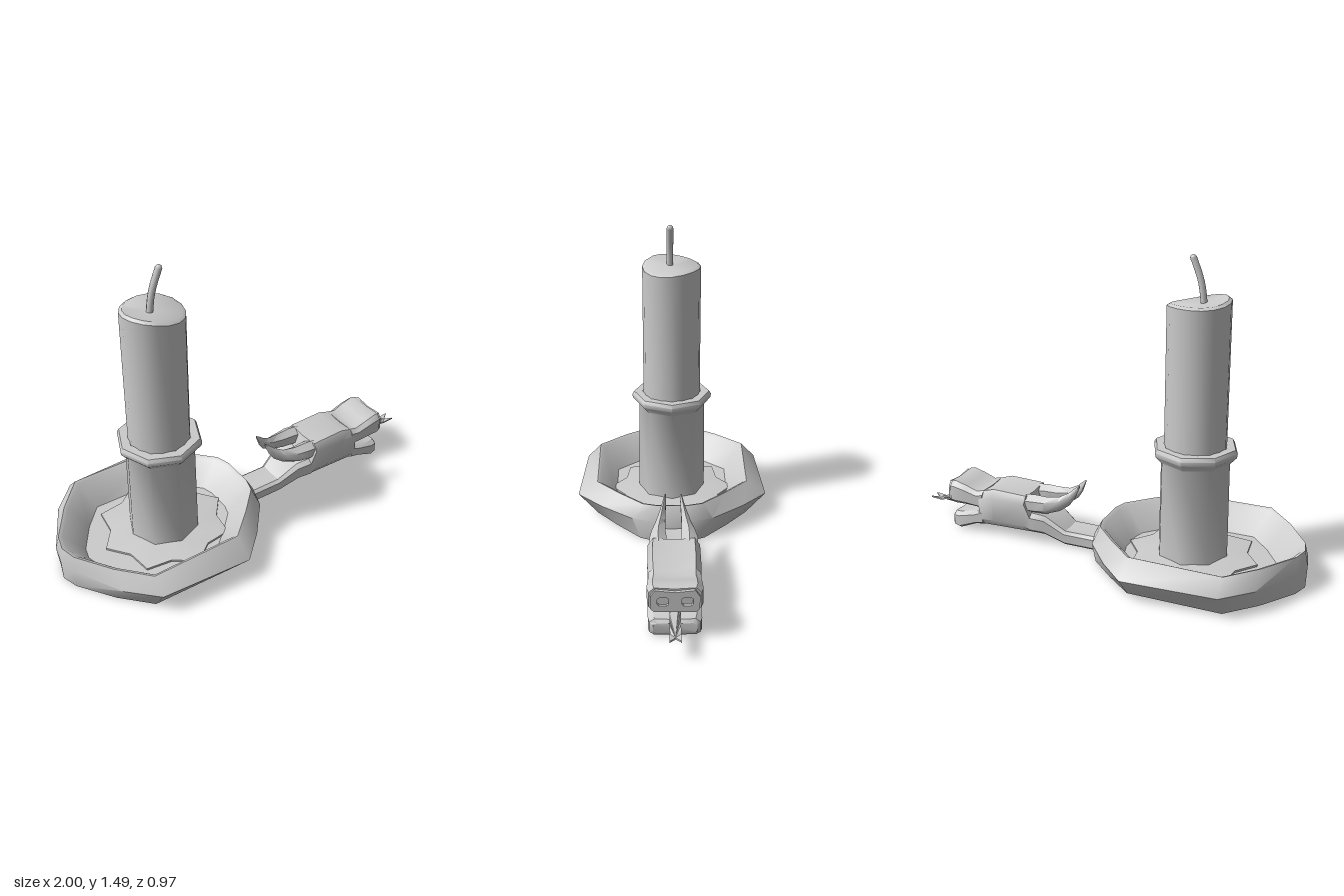
import * as THREE from 'three';
import { toCreasedNormals } from 'three/addons/utils/BufferGeometryUtils.js';

const mat = new THREE.MeshStandardMaterial({ color: 0xcccccc });
const thin = new THREE.MeshStandardMaterial({ color: 0xcccccc, side: THREE.DoubleSide });
const CX = -0.445; // candle axis

function add(parent, name, geo, material = mat) {
  const m = new THREE.Mesh(geo, material);
  m.name = name;
  parent.add(m);
  return m;
}

// Closed solid through equal-length rings of [x, y, z]; faces are turned outward by signed volume.
function loft(rings, crease = 0.7, endCentre) {
  const n = rings[0].length, pos = rings.flat(2), idx = [];
  const quad = (a, b, c, d) => idx.push(a, b, c, a, c, d);
  for (let r = 0; r < rings.length - 1; r++)
    for (let i = 0; i < n; i++) {
      const j = (i + 1) % n;
      quad(r * n + i, r * n + j, (r + 1) * n + j, (r + 1) * n + i);
    }
  const centre = ring => [0, 1, 2].map(k => ring.reduce((s, p) => s + p[k], 0) / n);
  const last = (rings.length - 1) * n, c0 = pos.length / 3;
  pos.push(...centre(rings[0]), ...(endCentre || centre(rings[rings.length - 1])));
  for (let i = 0; i < n; i++) {
    const j = (i + 1) % n;
    idx.push(c0, j, i, c0 + 1, last + i, last + j);
  }
  let vol = 0;
  const v = k => new THREE.Vector3().fromArray(pos, idx[k] * 3);
  for (let k = 0; k < idx.length; k += 3) vol += v(k).dot(v(k + 1).cross(v(k + 2)));
  if (vol < 0) idx.reverse();
  const g = new THREE.BufferGeometry();
  g.setAttribute('position', new THREE.Float32BufferAttribute(pos, 3));
  g.setIndex(idx);
  return toCreasedNormals(g, crease);
}

// Horizontal ring mirrored across z, from a half outline of [x, z]
function dishRing(half, y) {
  const back = half.slice(1, -1).reverse().map(([x, z]) => [x, -z]);
  return [...half, ...back].map(([x, z]) => [x, y, z]);
}

// Bevelled rectangular slice across x, with a slight groove along the top
function slice([x, lo, hi, w]) {
  const m = (lo + hi) / 2, h = (hi - lo) / 2;
  return [[w, -0.65], [w, 0.6], [0.8 * w, 1], [0, 0.9], [-0.8 * w, 1], [-w, 0.6], [-w, -0.65], [-0.82 * w, -1], [0.82 * w, -1]]
    .map(([z, k]) => [x, m + k * h, z]);
}

const circle = (n, f) => Array.from({ length: n }, (_, i) => f(i * 2 * Math.PI / n, i));

function buildDish(g) {
  const outer = [[-1, 0], [-0.98, 0.09], [-0.85, 0.33], [-0.72, 0.46], [-0.27, 0.485], [-0.14, 0.36], [-0.01, 0.2], [0.03, 0.08], [0.03, 0]];
  const rim = [[-0.985, 0], [-0.965, 0.08], [-0.85, 0.25], [-0.72, 0.39], [-0.27, 0.385], [-0.14, 0.265], [-0.03, 0.15], [-0.01, 0.08], [-0.01, 0]];
  const base = [[-0.995, 0], [-0.97, 0.08], [-0.85, 0.25], [-0.72, 0.385], [-0.27, 0.385], [-0.14, 0.28], [-0.01, 0.16], [0.025, 0.08], [0.025, 0]];
  const scaled = s => rim.map(([x, z]) => [-0.48 + (x + 0.48) * s, z * s]);
  add(g, 'dish', loft([
    dishRing(base, 0.005), dishRing(outer, 0.115), dishRing(rim, 0.188),
    dishRing(scaled(0.96), 0.18), dishRing(scaled(0.75), 0.06),
  ], 0.8));

  // Eight-pointed foot around the socket
  const star = y => circle(16, (a, i) => {
    const r = i % 2 ? 0.262 : 0.32;
    return [CX + r * Math.cos(a), y, r * Math.sin(a)];
  });
  const inner = circle(16, a => [CX + 0.16 * Math.cos(a), 0.085, 0.16 * Math.sin(a)]);
  add(g, 'starFoot', loft([star(0.05), star(0.07), inner], 0.3));
}

function buildCandle(g) {
  const profile = [[0.172, 0.05], [0.168, 0.55], [0.2, 0.585], [0.203, 0.605], [0.193, 0.622], [0.15, 0.622], [0.14, 0.55]]
    .map(p => new THREE.Vector2(...p));
  const socket = add(g, 'candleSocket', toCreasedNormals(new THREE.LatheGeometry(profile, 8), 0.82), thin);
  socket.position.x = CX;

  // Candle with an unevenly melted top
  const ring = (r, y) => circle(16, a => [CX + r * Math.cos(a), y(a), r * Math.sin(a)]);
  const top = a => 1.285 - 0.015 * Math.cos(a) - 0.008 * Math.sin(2 * a);
  add(g, 'candle', loft([
    ring(0.145, () => 0.5), ring(0.145, top), ring(0.13, a => top(a) + 0.01),
  ], 0.7, [CX, 1.285, 0]));

  // Bent wick
  const path = new THREE.CatmullRomCurve3([[-0.465, 1.27], [-0.452, 1.36], [-0.438, 1.41], [-0.408, 1.485]]
    .map(([x, y]) => new THREE.Vector3(x, y, 0.008)));
  add(g, 'wick', new THREE.TubeGeometry(path, 8, 0.016, 8));
  const tip = add(g, 'wickTip', new THREE.SphereGeometry(0.016, 8, 6));
  tip.position.set(-0.408, 1.483, 0.008);
}

function buildHandle(g) {
  const solid = (name, rows) => add(g, name, loft(rows.map(slice), 0.6));
  solid('neckAndHead', [
    [-0.01, 0.01, 0.08, 0.078], [0.2, 0.01, 0.08, 0.078], [0.3, 0.055, 0.15, 0.105], [0.37, 0.06, 0.16, 0.118],
    [0.4, 0.06, 0.245, 0.12], [0.58, 0.055, 0.25, 0.12], [0.66, 0.05, 0.225, 0.116],
  ]);
  solid('lowerJaw', [[0.64, 0.05, 0.135, 0.117], [0.69, 0.043, 0.112, 0.118], [0.78, 0.005, 0.093, 0.117], [0.81, 0.01, 0.09, 0.11], [0.822, 0.025, 0.075, 0.095]]);
  solid('upperJaw', [[0.64, 0.135, 0.232, 0.116], [0.68, 0.138, 0.222, 0.116], [0.74, 0.142, 0.243, 0.12], [0.8, 0.14, 0.26, 0.12], [0.826, 0.14, 0.255, 0.112]]);

  // Snout plate pierced by two nostrils
  const face = new THREE.Shape([[-0.105, 0.16], [-0.09, 0.145], [0.09, 0.145], [0.105, 0.16], [0.105, 0.22], [0.085, 0.25], [0, 0.24], [-0.085, 0.25], [-0.105, 0.22]]
    .map(p => new THREE.Vector2(...p)));
  for (const s of [-1, 1]) {
    const pts = [[-24, -12], [-16, -20], [16, -20], [24, -12], [24, 14], [16, 20], [-16, 20], [-24, 14]];
    face.holes.push(new THREE.Path(pts.map(([x, y]) => new THREE.Vector2(s * 0.052 + x / 1000, 0.194 + y / 1000))));
  }
  const plate = new THREE.ExtrudeGeometry(face, { depth: 0.018, bevelEnabled: false });
  plate.rotateY(Math.PI / 2).translate(0.822, 0, 0);
  add(g, 'snout', plate);

  // Swept-back horns: x, centre y, centre z, half height, half width
  const rows = [[0.44, 0.2, 0.07, 0.042, 0.045], [0.36, 0.203, 0.072, 0.049, 0.045], [0.3, 0.204, 0.07, 0.046, 0.037],
    [0.23, 0.22, 0.06, 0.038, 0.025], [0.18, 0.252, 0.05, 0.034, 0.015], [0.15, 0.288, 0.042, 0.025, 0.009], [0.13, 0.322, 0.037, 0.006, 0.004]];
  for (const s of [-1, 1])
    add(g, s > 0 ? 'rightHorn' : 'leftHorn', loft(rows.map(([x, y, z, h, w]) =>
      circle(6, a => [x, y + h * Math.sin(a + Math.PI / 6), s * (z + w * Math.cos(a + Math.PI / 6))])), 0.9));

  // Wavy forked tongue
  const shape = new THREE.Shape([[0.64, -0.024], [0.94, -0.024], [1, -0.026], [0.965, 0], [1, 0.026], [0.94, 0.024], [0.64, 0.024]]
    .map(p => new THREE.Vector2(...p)));
  // Extra points along both edges let the strip bend
  const steps = Array.from({ length: 13 }, (_, i) => 0.64 + i * 0.025);
  const pts = [...steps.map(x => new THREE.Vector2(x, -0.024)), ...shape.getPoints().slice(2, 5),
    ...steps.slice().reverse().map(x => new THREE.Vector2(x, 0.024))];
  const tongue = new THREE.ExtrudeGeometry(new THREE.Shape(pts), { depth: 0.008, bevelEnabled: false });
  tongue.rotateX(Math.PI / 2);
  const p = tongue.attributes.position;
  for (let i = 0; i < p.count; i++) {
    const x = p.getX(i);
    p.setY(i, p.getY(i) + 0.128 - (x - 0.64) * 0.06 + 0.006 * Math.sin((x - 0.64) * 55));
  }
  tongue.computeVertexNormals();
  add(g, 'tongue', tongue, thin);
}

export function createModel() {
  const model = new THREE.Group();
  model.name = 'candleHolder';
  for (const [name, build] of [['dishGroup', buildDish], ['candleGroup', buildCandle], ['dragonHandle', buildHandle]]) {
    const g = new THREE.Group();
    g.name = name;
    build(g);
    model.add(g);
  }
  return model;
}
